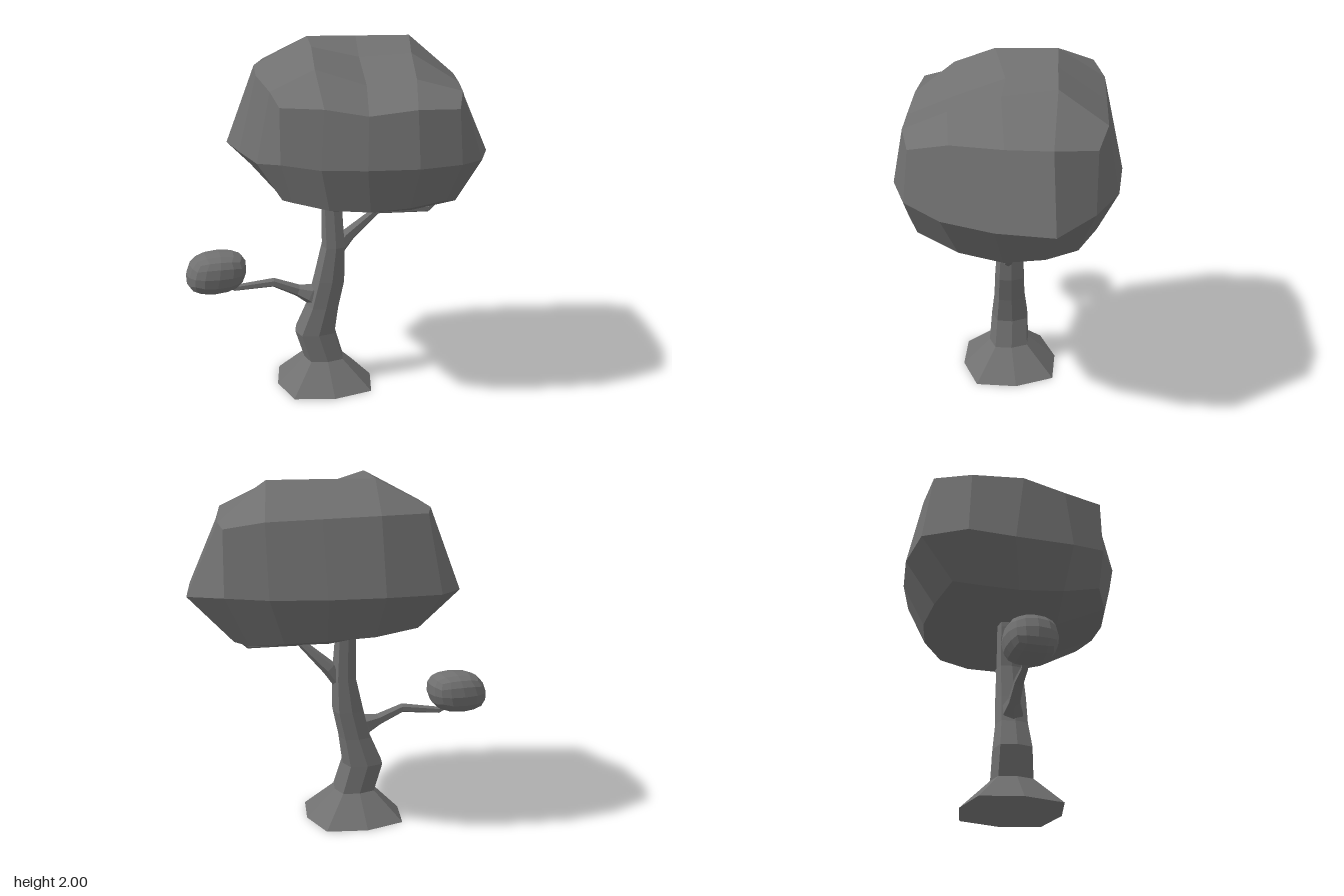
import * as THREE from 'three';

const material = new THREE.MeshStandardMaterial({ color: 0x707070, side: THREE.DoubleSide });

// Geometry from a list of four-cornered faces, each shaded as one flat facet
function fromQuads(quads) {
  const pos = [], nor = [];
  const v = (p, q) => new THREE.Vector3(q[0] - p[0], q[1] - p[1], q[2] - p[2]);
  for (const [a, b, c, d] of quads) {
    const n = v(a, c).cross(v(b, d)).normalize();
    for (const p of [a, b, c, a, c, d]) {
      pos.push(...p);
      nor.push(n.x, n.y, n.z);
    }
  }
  const geo = new THREE.BufferGeometry();
  geo.setAttribute('position', new THREE.Float32BufferAttribute(pos, 3));
  geo.setAttribute('normal', new THREE.Float32BufferAttribute(nor, 3));
  return geo;
}

// Faces joining consecutive closed rings of points
function loft(rings) {
  const quads = [];
  for (let r = 0; r < rings.length - 1; r++) {
    const a = rings[r], b = rings[r + 1], n = a.length;
    for (let i = 0; i < n; i++) {
      const j = (i + 1) % n;
      quads.push([a[i], a[j], b[j], b[i]]);
    }
  }
  return quads;
}

// 4 x 4 cap filling a 16-point ring, with an 8-point inner ring and a centre
function cap(o, n, centre, flip) {
  const g = [
    [o[0], o[1], o[2], o[3], o[4]],
    [o[15], n[0], n[1], n[2], o[5]],
    [o[14], n[7], centre, n[3], o[6]],
    [o[13], n[6], n[5], n[4], o[7]],
    [o[12], o[11], o[10], o[9], o[8]],
  ];
  const quads = [];
  for (let r = 0; r < 4; r++) for (let c = 0; c < 4; c++) {
    const q = [g[r][c], g[r + 1][c], g[r + 1][c + 1], g[r][c + 1]];
    quads.push(flip ? q.reverse() : q);
  }
  return quads;
}

// Crown: three faceted rings, starting at the back left corner, and two caps
function crownGeometry() {
  const upper = [
    [-0.33, 1.84, -0.54], [-0.07, 1.84, -0.55], [0.23, 1.83, -0.5], [0.52, 1.82, -0.45],
    [0.72, 1.78, -0.36], [0.7, 1.78, -0.14], [0.65, 1.78, 0.1], [0.58, 1.79, 0.37],
    [0.5, 1.74, 0.57], [0.27, 1.75, 0.58], [0.02, 1.72, 0.54], [-0.2, 1.755, 0.48],
    [-0.42, 1.76, 0.41], [-0.43, 1.8, 0.2], [-0.46, 1.84, -0.05], [-0.42, 1.84, -0.34],
  ];
  const middle = [
    [-0.39, 1.42, -0.61], [-0.07, 1.43, -0.64], [0.23, 1.43, -0.6], [0.52, 1.43, -0.52],
    [0.72, 1.42, -0.36], [0.875, 1.39, -0.13], [0.8, 1.4, 0.17], [0.68, 1.42, 0.43],
    [0.51, 1.45, 0.6], [0.27, 1.45, 0.635], [0, 1.45, 0.6], [-0.23, 1.45, 0.54],
    [-0.42, 1.46, 0.42], [-0.51, 1.42, 0.22], [-0.55, 1.4, -0.12], [-0.58, 1.39, -0.39],
  ];
  const lower = [
    [-0.33, 1.2, -0.42], [-0.07, 1.18, -0.47], [0.2, 1.18, -0.48], [0.42, 1.17, -0.43],
    [0.58, 1.14, -0.3], [0.62, 1.12, -0.12], [0.62, 1.12, 0.1], [0.57, 1.17, 0.33],
    [0.45, 1.24, 0.53], [0.24, 1.22, 0.56], [0.03, 1.21, 0.55], [-0.18, 1.22, 0.5],
    [-0.36, 1.25, 0.41], [-0.37, 1.2, 0.2], [-0.36, 1.18, -0.05], [-0.36, 1.18, -0.25],
  ];
  const top = [
    [-0.12, 2, -0.3], [0.15, 2, -0.25], [0.45, 2, -0.2], [0.38, 1.95, 0.08],
    [0.33, 1.86, 0.35], [0.07, 1.83, 0.3], [-0.2, 1.92, 0.26], [-0.17, 2, 0.04],
  ];
  const bottom = [
    [-0.12, 1.12, -0.22], [0.12, 1.1, -0.24], [0.36, 1.1, -0.2], [0.4, 1.08, 0.02],
    [0.34, 1.11, 0.26], [0.12, 1.13, 0.3], [-0.1, 1.13, 0.24], [-0.13, 1.11, 0],
  ];
  return fromQuads([
    ...cap(upper, top, [0.1, 1.93, 0.02], false),
    ...loft([upper, middle, lower]),
    ...cap(lower, bottom, [0.12, 1.06, 0.02], true),
  ]);
}

// Tuft: a rounded, slightly leaning block of four-cornered facets
function tuftGeometry() {
  const box = new THREE.BoxGeometry(2, 2, 2, 4, 4, 4);
  const index = box.index.array, p = new THREE.Vector3(), quads = [];
  const corner = (i) => {
    p.fromBufferAttribute(box.attributes.position, i);
    p.multiplyScalar(1.04 / Math.pow(p.x ** 4 + p.y ** 4 + p.z ** 4, 0.25)).lerp(p.clone().normalize(), 0.65);
    return [-0.705 + 0.17 * p.x + 0.02 * p.y, 0.71 + 0.118 * p.y, -0.09 + 0.138 * p.z];
  };
  for (let i = 0; i < index.length; i += 6) {
    quads.push([index[i], index[i + 1], index[i + 4], index[i + 2]].map(corner));
  }
  return fromQuads(quads);
}

// Trunk: squarish eight-point level sections given as [y, xMin, xMax, zMin, zMax]
function trunkGeometry() {
  const sections = [
    [0, -0.37, 0.19, -0.31, 0.25], [0.16, -0.21, 0.02, -0.145, 0.09],
    [0.32, -0.26, -0.025, -0.145, 0.07], [0.48, -0.19, -0.005, -0.12, 0.06],
    [0.64, -0.15, 0.03, -0.11, 0.06], [0.84, -0.1, 0.03, -0.1, 0.05],
    [1.08, -0.1, 0.02, -0.095, 0.01], [1.2, -0.09, 0.01, -0.09, 0],
  ];
  return fromQuads(loft(sections.map(([y, x0, x1, z0, z1]) =>
    Array.from({ length: 8 }, (_, i) => {
      const a = (i / 8) * Math.PI * 2, r = (i % 2 ? 1.15 : 1) / 2;
      return [(x0 + x1) / 2 + Math.cos(a) * r * (x1 - x0), y, (z0 + z1) / 2 - Math.sin(a) * r * (z1 - z0)];
    }))));
}

// Tapering six-sided limb along points given as [x, y, z, radius]
function limbGeometry(path) {
  const pts = path.map(([x, y, z]) => new THREE.Vector3(x, y, z));
  return fromQuads(loft(path.map(([, , , radius], k) => {
    const t = pts[Math.min(k + 1, pts.length - 1)].clone().sub(pts[Math.max(k - 1, 0)]).normalize();
    const n = new THREE.Vector3(0, 0, 1).cross(t).normalize();
    const b = t.clone().cross(n);
    return Array.from({ length: 6 }, (_, i) => {
      const a = (i / 6) * Math.PI * 2;
      return pts[k].clone().addScaledVector(n, Math.cos(a) * radius).addScaledVector(b, Math.sin(a) * radius).toArray();
    });
  })));
}

export function createModel() {
  const model = new THREE.Group();
  model.name = 'tree';
  const add = (name, geometry) => {
    const mesh = new THREE.Mesh(geometry, material);
    mesh.name = name;
    model.add(mesh);
  };

  add('trunk', trunkGeometry());
  add('rightBranch', limbGeometry([
    [-0.09, 0.5, -0.03, 0.07], [-0.17, 0.55, -0.04, 0.06], [-0.24, 0.57, -0.05, 0.035],
    [-0.38, 0.628, -0.06, 0.027], [-0.6, 0.603, -0.09, 0.019], [-0.68, 0.65, -0.1, 0.018],
  ]));
  add('leftBranch', limbGeometry([
    [-0.05, 0.76, -0.03, 0.045], [0.05, 0.895, -0.02, 0.042], [0.21, 1.05, 0.03, 0.024],
    [0.5, 1.048, 0.06, 0.022], [0.59, 1.13, 0.06, 0.02],
  ]));
  add('crown', crownGeometry());
  add('tuft', tuftGeometry());
  return model;
}
